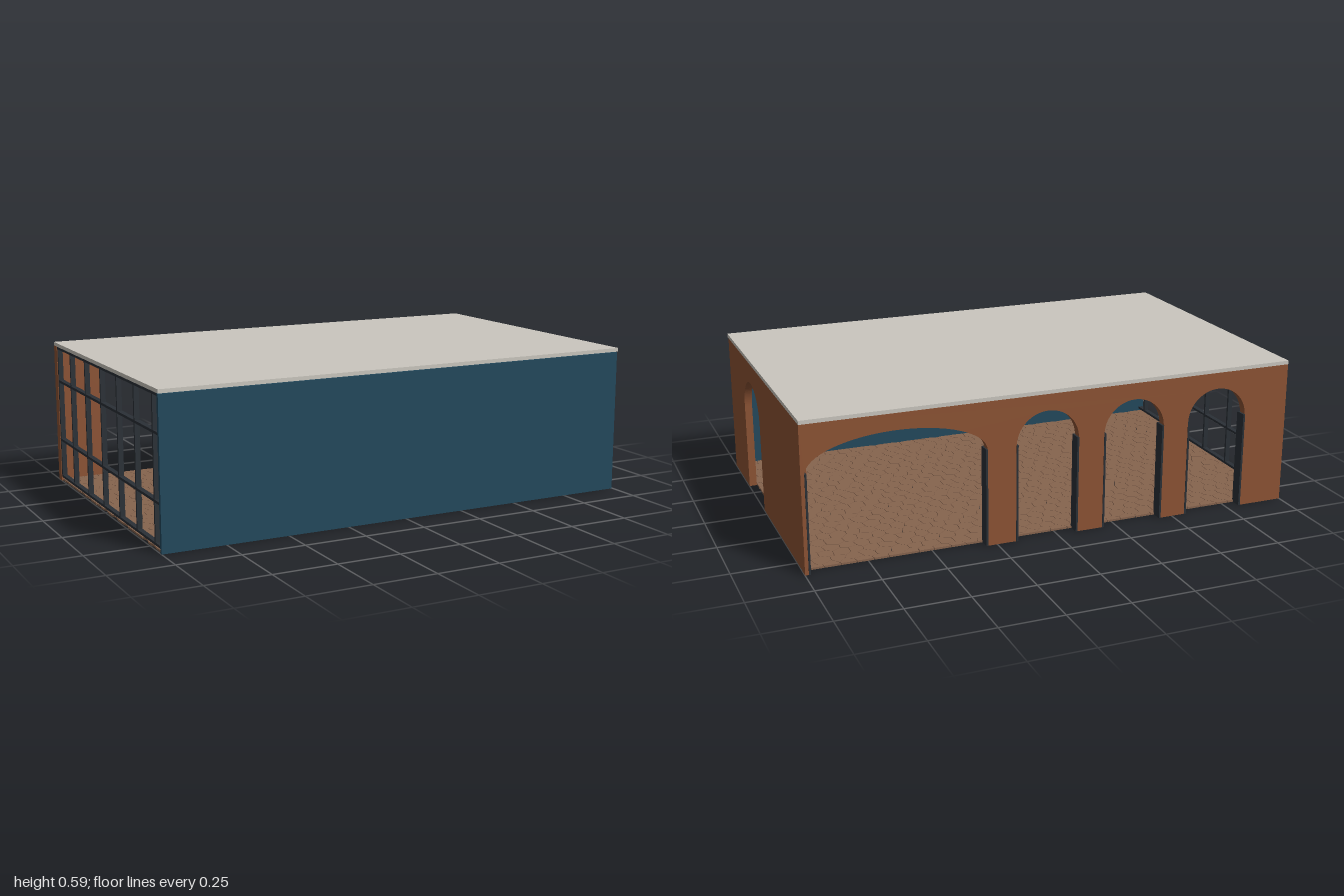
import * as THREE from 'three';
import { mergeGeometries } from 'three/addons/utils/BufferGeometryUtils.js';

const material = (name, color) => {
  const m = new THREE.MeshStandardMaterial({ color });
  m.name = name;
  return m;
};
const mats = {
  blue: material('blue paint', 0x22485c),
  brown: material('terracotta', 0x8c5334),
  roof: material('pale concrete', 0xcac6be),
  steel: material('dark steel', 0x2a3036),
  stone: material('floor stone', 0x86644e),
};

export function createModel() {
  const room = new THREE.Group();
  room.name = 'room';

  const add = (name, geometry, mat, x = 0, y = 0, z = 0) => {
    const mesh = new THREE.Mesh(geometry, mat);
    mesh.name = name;
    mesh.position.set(x, y, z);
    room.add(mesh);
    return mesh;
  };
  // Box given by its lower and upper corners
  const block = (name, mat, [x0, y0, z0], [x1, y1, z1]) =>
    add(name, new THREE.BoxGeometry(x1 - x0, y1 - y0, z1 - z0), mat,
      (x0 + x1) / 2, (y0 + y1) / 2, (z0 + z1) / 2);

  // Wall outline with arched doorways notched in from the floor
  const archedWall = (from, to, height, thickness, arches) => {
    const s = new THREE.Shape().moveTo(from, 0);
    for (const { c, rx, ry, spring } of arches) {
      s.lineTo(c - rx, 0).lineTo(c - rx, spring);
      s.absellipse(c, spring, rx, ry, Math.PI, 0, true);
      s.lineTo(c + rx, 0);
    }
    s.lineTo(to, 0).lineTo(to, height).lineTo(from, height).closePath();
    return new THREE.ExtrudeGeometry(s, { depth: thickness, bevelEnabled: false, curveSegments: 28 });
  };

  // Roof slab and plain front wall
  block('roof', mats.roof, [-1, 0.578, -0.617], [1, 0.593, 0.617]);
  block('frontWall', mats.blue, [-1, 0, 0.603], [0.995, 0.576, 0.617]);

  // Back wall: three narrow arches and one wide arch
  const arches = [-0.684, -0.32, 0.044].map((c) => ({ c, rx: 0.128, ry: 0.125, spring: 0.387 }));
  arches.push({ c: 0.637, rx: 0.348, ry: 0.125, spring: 0.387 });
  add('backWall', archedWall(-1, 1, 0.578, 0.037, arches), mats.brown, 0, 0, -0.615);

  // Steel linings on both jambs of every back arch
  for (const { c, rx, spring } of arches) {
    for (const side of [-1, 1]) {
      const x = c + side * (rx - 0.003);
      block('jambLining', mats.steel, [x - 0.004, 0, -0.617], [x + 0.004, spring + 0.003, -0.57]);
    }
  }

  // Left side wall with one arched door
  const sideWall = archedWall(-0.603, 0.578, 0.577, 0.03,
    [{ c: -0.19, rx: 0.14, ry: 0.138, spring: 0.357 }]);
  sideWall.rotateY(Math.PI / 2);
  add('sideWall', sideWall, mats.brown, 0.969, 0, 0);

  // Glazing grid closing the opposite side
  for (let i = 0; i < 7; i++) {
    const z = -0.592 + 0.19 * i + (i ? 0 : 0.02);
    block('mullion', mats.steel, [-0.998, 0.016, z - 0.005], [-0.978, 0.578, z + 0.005]);
  }
  for (const y of [0.021, 0.18, 0.432, 0.572]) {
    block('transom', mats.steel, [-0.998, y - 0.005, -0.578], [-0.978, y + 0.005, 0.603]);
  }

  // Paved floor of irregular stones with fine gaps
  add('floor', stoneFloor(-0.995, 0.968, -0.577, 0.602), mats.stone);

  // Ceiling lamps in two rows
  for (const z of [-0.25, 0.34]) {
    for (let i = 0; i < 5; i++) {
      add('ceilingLamp', new THREE.CylinderGeometry(0.022, 0.022, 0.008, 20), mats.roof,
        0.81 - 0.365 * i, 0.574, z);
    }
  }

  // Small ledges on the inside of the front wall
  for (const x of [-0.68, 0.64]) {
    block('wallLedge', mats.blue, [x - 0.04, 0.3, 0.56], [x + 0.04, 0.33, 0.604]);
  }
  return room;
}

// Jittered hexagonal paving, clipped to a rectangle
function stoneFloor(x0, x1, z0, z1) {
  const r = 0.035, dx = r * Math.sqrt(3), dz = r * 1.5;
  const hash = (a, b) => {
    const v = Math.sin(a * 127.1 + b * 311.7) * 43758.5453;
    return v - Math.floor(v) - 0.5;
  };
  const clamp = THREE.MathUtils.clamp;
  const stones = [];
  for (let row = 0; z0 + row * dz < z1 + r; row++) {
    for (let col = 0; x0 + col * dx < x1 + dx; col++) {
      const cx = x0 + (col + (row % 2) / 2) * dx, cz = z0 + row * dz;
      const pts = [];
      for (let k = 0; k < 6; k++) {
        const a = (k + 0.5) * Math.PI / 3;
        const x = cx + r * Math.cos(a), z = cz + r * Math.sin(a);
        // Neighbouring stones share the same jitter at a common corner
        const i = Math.round((x - x0) / (dx / 2)), j = Math.round((z - z0) / (r / 2));
        pts.push(new THREE.Vector2(
          clamp(x + hash(i, j) * r * 0.5, x0, x1),
          clamp(z + hash(j + 50, i) * r * 0.5, z0, z1)));
      }
      const box = new THREE.Box2().setFromPoints(pts);
      const size = box.getSize(new THREE.Vector2());
      if (Math.min(size.x, size.y) < 0.006) continue;
      const mid = box.getCenter(new THREE.Vector2());
      for (const p of pts) p.lerp(mid, 0.03);
      const g = new THREE.ExtrudeGeometry(new THREE.Shape(pts), { depth: 0.008, bevelEnabled: false });
      g.rotateX(Math.PI / 2);
      g.translate(0, 0.008, 0);
      stones.push(g);
    }
  }
  return mergeGeometries(stones);
}
